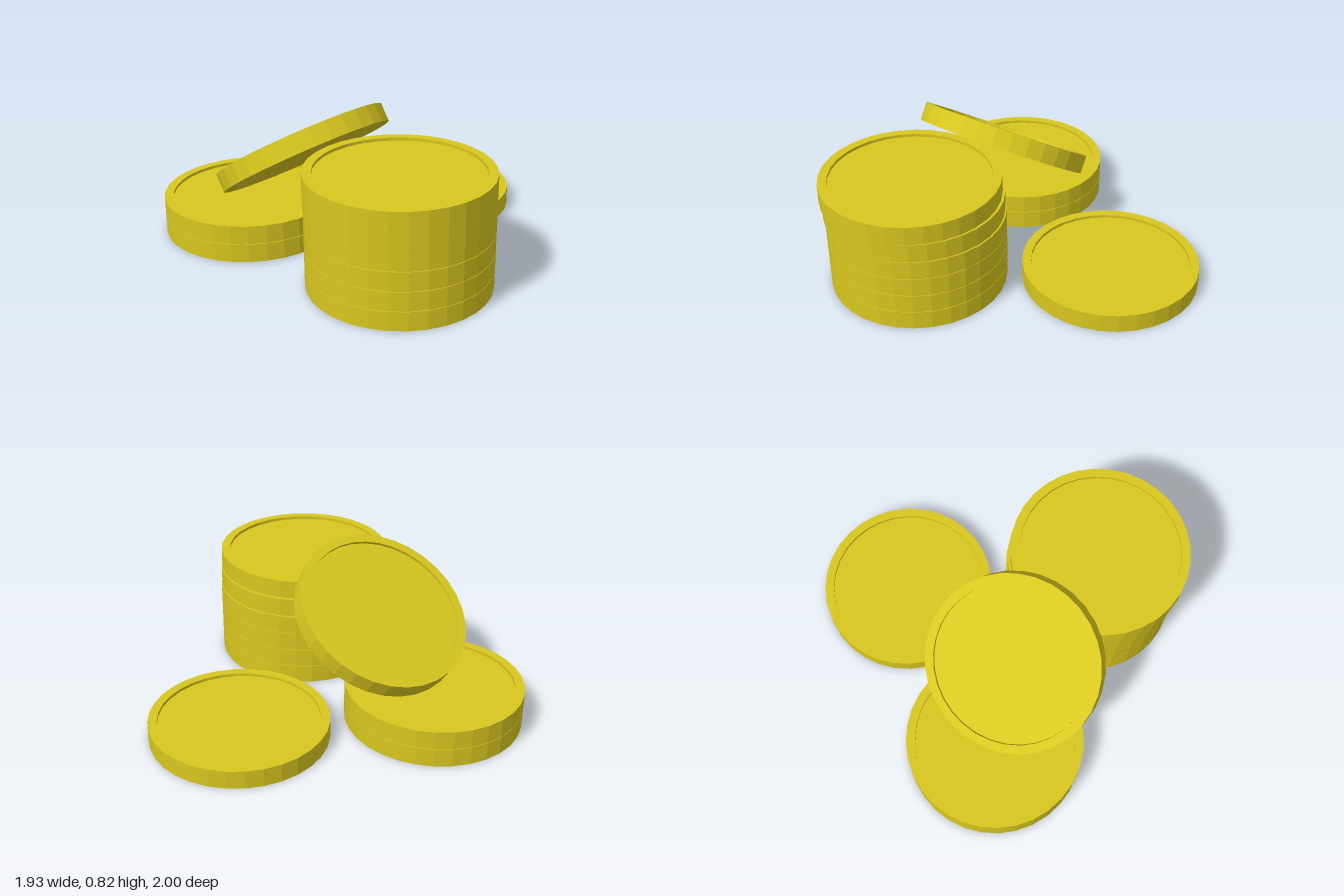
import * as THREE from 'three';

const RADIUS = 0.475, INNER = 0.427, HEIGHT = 0.101, RECESS = 0.016, PITCH = 0.1037;

export function createModel() {
  const group = new THREE.Group();
  const gold = new THREE.MeshStandardMaterial({ color: 0xd8c71f, flatShading: true });

  // One coin: flat underside, raised rim, sunken top face
  const h = HEIGHT / 2;
  const profile = [
    [0, -h], [RADIUS, -h], [RADIUS, h], [INNER, h], [INNER, h - RECESS], [0, h - RECESS],
  ].map(([x, y]) => new THREE.Vector2(x, y));
  const coinGeometry = new THREE.LatheGeometry(profile, 32);

  function addCoin(name, x, y, z) {
    const coin = new THREE.Mesh(coinGeometry, gold);
    coin.name = name;
    coin.position.set(x, y, z);
    group.add(coin);
    return coin;
  }

  // Each pile lists the x, z centre of its coins from the bottom up
  function addPile(name, centres) {
    centres.forEach(([x, z], i) => addCoin(`${name}${i + 1}`, x, h + i * PITCH, z));
  }

  // Tall front stack, its upper coins slightly shifted
  addPile('tallStackCoin', [
    [-0.27, 0.51], [-0.27, 0.51], [-0.27, 0.51], [-0.27, 0.51], [-0.276, 0.515], [-0.285, 0.525],
  ]);
  // Short stack at the back
  addPile('shortStackCoin', [[-0.495, -0.524], [-0.495, -0.524]]);
  // Single coin lying on the ground
  addPile('singleCoin', [[0.49, -0.185]]);

  // Coin leaning from the short stack against the tall one
  const leaning = addCoin('leaningCoin', -0.345, 0.511, -0.218);
  leaning.quaternion.setFromUnitVectors(
    new THREE.Vector3(0, 1, 0),
    new THREE.Vector3(-0.085, 0.835, -0.55).normalize(),
  );

  return group;
}
